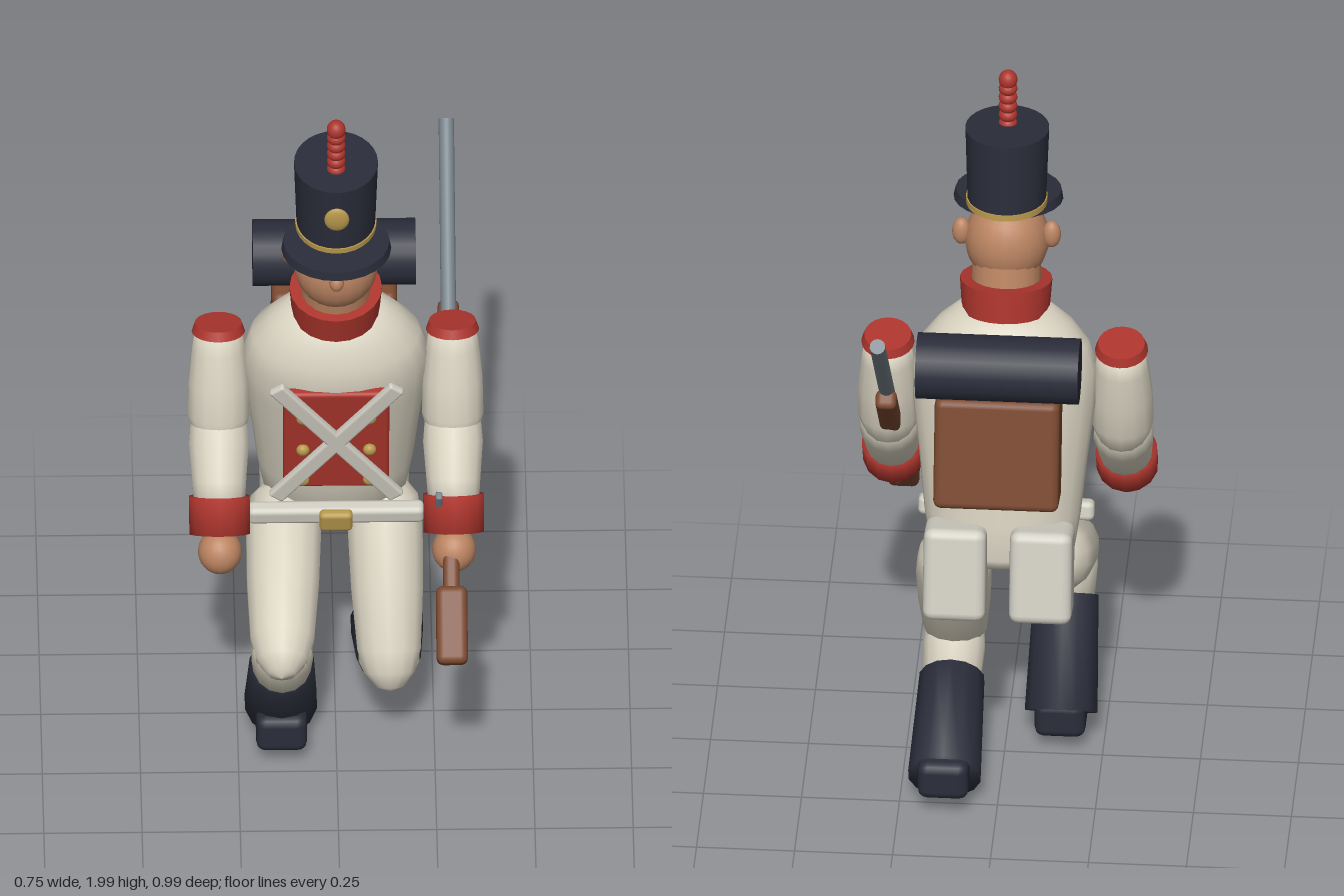
import * as THREE from 'three';
import { RoundedBoxGeometry } from 'three/addons/geometries/RoundedBoxGeometry.js';

const material = (name, color) => {
  const m = new THREE.MeshStandardMaterial({ color });
  m.name = name;
  return m;
};

export function createModel() {
  const coat = material('cream cloth', 0xd8d2c0);
  const leather = material('white leather', 0xd0cdc2);
  const red = material('red cloth', 0xad352d);
  const dark = material('dark blue', 0x2a2d3a);
  const skin = material('skin', 0xbb8462);
  const brown = material('brown', 0x7b4a30);
  const steel = material('steel', 0x76828a);
  const gold = material('brass', 0xb7984c);

  const root = new THREE.Group();
  root.name = 'soldier';

  const group = (name, x, y, z, tilt = 0) => {
    const g = new THREE.Group();
    g.name = name;
    g.position.set(x, y, z);
    g.rotation.x = tilt;
    root.add(g);
    return g;
  };
  const add = (parent, name, geo, mat, x = 0, y = 0, z = 0) => {
    const m = new THREE.Mesh(geo, mat);
    m.name = name;
    m.position.set(x, y, z);
    parent.add(m);
    return m;
  };
  const box = (w, h, d, r = 0.015) => new RoundedBoxGeometry(w, h, d, 2, r);
  const ball = (rx, ry, rz) => new THREE.SphereGeometry(1, 20, 14).scale(rx, ry, rz);
  const tube = (top, bottom, h, n = 20) => new THREE.CylinderGeometry(top, bottom, h, n);

  // Lathed limb running from a to b; profile holds [fraction of length, radius]
  const limb = (name, mat, a, b, profile) => {
    const from = new THREE.Vector3(...a), dir = new THREE.Vector3(...b).sub(from);
    const len = dir.length();
    const pts = profile.map(([t, r]) => new THREE.Vector2(r, -t * len)).reverse();
    const m = add(root, name, new THREE.LatheGeometry(pts, 14), mat, ...a);
    m.quaternion.setFromUnitVectors(new THREE.Vector3(0, -1, 0), dir.normalize());
    return m;
  };

  // Torso, leaning forward
  const body = group('body', 0, 0.7, -0.085, 0.2);
  const outline = [[0, -0.035], [0.15, -0.03], [0.185, 0], [0.2, 0.1], [0.215, 0.25], [0.233, 0.4],
    [0.236, 0.5], [0.215, 0.565], [0.17, 0.62], [0.12, 0.66], [0, 0.69]];
  const torso = new THREE.LatheGeometry(outline.map(p => new THREE.Vector2(...p)), 24);
  add(body, 'torso', torso, coat).scale.z = 0.67;
  add(body, 'collar', tube(0.118, 0.112, 0.085), red, 0, 0.69, 0);
  add(body, 'neck', tube(0.088, 0.09, 0.12), skin, 0, 0.73, 0.005);

  // Chest panel, buttons and crossed straps
  add(body, 'chestPanel', box(0.27, 0.355, 0.03, 0.01), red, 0, 0.325, 0.15);
  for (const s of [-1, 1]) {
    add(body, 'crossStrap', box(0.045, 0.52, 0.022, 0.008), leather, 0, 0.342, 0.182).rotation.z = s * 0.64;
    for (const y of [0.185, 0.3, 0.42]) add(body, 'button', ball(0.017, 0.017, 0.014), gold, s * 0.085, y, 0.172);
    add(body, 'pouch', box(0.16, 0.25, 0.125, 0.025), leather, s * 0.11, -0.024, -0.12);
  }
  add(body, 'belt', box(0.45, 0.052, 0.045, 0.015), leather, 0, 0.042, 0.155);
  add(body, 'buckle', box(0.085, 0.062, 0.03, 0.012), gold, 0, 0.042, 0.183);

  // Pack and blanket roll
  add(body, 'backpack', box(0.32, 0.3, 0.127, 0.02), brown, 0, 0.352, -0.225);
  add(body, 'blanketRoll', tube(0.085, 0.085, 0.415, 24), dark, 0, 0.582, -0.251).rotation.z = Math.PI / 2;

  // Head
  const head = group('head', 0, 1.52, 0.09);
  add(head, 'face', ball(0.108, 0.122, 0.105), skin);
  add(head, 'nose', ball(0.019, 0.025, 0.022), skin, 0, 0.017, 0.108);
  for (const s of [-1, 1]) {
    add(head, 'ear', ball(0.024, 0.038, 0.022), skin, s * 0.115, 0.025, -0.015);
    add(head, 'eye', ball(0.016, 0.007, 0.005), dark, s * 0.037, 0.05, 0.09);
  }

  // Tall hat with peak, band, badge and beaded plume
  const hat = group('hat', 0, 1.63, 0.082, 0.09);
  add(hat, 'crown', tube(0.107, 0.1, 0.215, 28), dark, 0, 0.112, 0).scale.z = 1.1;
  add(hat, 'hatBand', tube(0.104, 0.104, 0.016, 28), gold, 0, 0.014, 0).scale.z = 1.1;
  add(hat, 'peak', tube(0.135, 0.14, 0.024, 24), dark, 0, -0.004, 0.066).scale.z = 0.9;
  add(hat, 'badge', ball(0.032, 0.037, 0.011), gold, 0, 0.145, 0.136);
  for (let i = 0; i < 6; i++) {
    add(root, 'plumeBead', ball(0.024, i === 5 ? 0.026 : 0.019, 0.024), red, 0, 1.845 + i * 0.0258, 0.125 + i * 0.001);
  }

  // Arms
  for (const s of [-1, 1]) {
    const x = s * 0.298;
    limb('upperArm', coat, [x, 1.255, 0.003], [x, 0.95, 0.058],
      [[0, 0], [0.01, 0.058], [0.2, 0.069], [0.5, 0.078], [0.8, 0.08], [0.98, 0.066], [1.1, 0.035], [1.14, 0]]);
    add(root, 'epaulette', tube(0.06, 0.068, 0.024), red, x, 1.255, 0.008).rotation.x = -0.19;
    limb('forearm', coat, [x, 1.0, 0.04], [x, 0.8, 0.19],
      [[-0.12, 0], [-0.08, 0.045], [0.08, 0.073], [0.3, 0.078], [0.7, 0.07], [1, 0.065], [1, 0]]);
    limb('cuff', red, [x, 0.838, 0.173], [x, 0.756, 0.222], [[0, 0], [0, 0.079], [1, 0.079], [1, 0]]);
    add(root, 'hand', ball(0.056, 0.06, 0.056), skin, x, 0.722, 0.252);
  }

  // Legs: hip, knee and boot points for the advancing and the trailing side
  const legs = [
    { name: 'right', x: -0.14, hip: [0.64, -0.04], knee: [0.455, 0.305], top: [0.345, 0.238], heel: [0.1, 0.065], foot: [0.107, 0.115] },
    { name: 'left', x: 0.135, hip: [0.64, -0.055], knee: [0.3, 0.145], top: [0.22, 0.018], heel: [0.1, -0.257], foot: [0.12, -0.212] },
  ];
  for (const { name, x, hip, knee, top, heel, foot } of legs) {
    limb(name + 'Thigh', coat, [x * 0.93, ...hip], [x, ...knee],
      [[-0.2, 0], [-0.17, 0.05], [-0.05, 0.088], [0.15, 0.098], [0.55, 0.094], [0.95, 0.083], [1.1, 0.066], [1.2, 0.035], [1.23, 0]]);
    limb(name + 'Shin', coat, [x, ...knee], [x, ...top],
      [[-0.45, 0], [-0.4, 0.04], [-0.1, 0.074], [0.4, 0.08], [1.1, 0.074], [1.1, 0]]);
    limb(name + 'Boot', dark, [x, ...top], [x, ...heel], [[0, 0], [0, 0.084], [1, 0.094], [1, 0]]);
    add(root, name + 'Foot', box(0.13, 0.105, 0.23, 0.025), dark, x, ...foot);
  }

  // Musket, its long axis along local y and the barrel side towards local +z
  const musket = group('musket', 0.29, 1.035, 0, -0.76);
  add(musket, 'barrel', tube(0.02, 0.02, 0.95, 14), steel, 0, 0.222, 0.005);
  add(musket, 'foreStock', box(0.054, 0.5, 0.05, 0.015), brown, 0, -0.015, -0.022);
  add(musket, 'grip', box(0.042, 0.32, 0.05, 0.015), brown, 0, -0.37, -0.01);
  add(musket, 'butt', box(0.08, 0.2, 0.066, 0.018), brown, 0, -0.6, -0.002);
  add(musket, 'lockPlate', box(0.016, 0.1, 0.035, 0.006), steel, -0.03, -0.28, 0.015);
  add(musket, 'hammer', box(0.018, 0.022, 0.08, 0.006), steel, -0.03, -0.29, 0.055).rotation.x = -0.35;

  return root;
}
